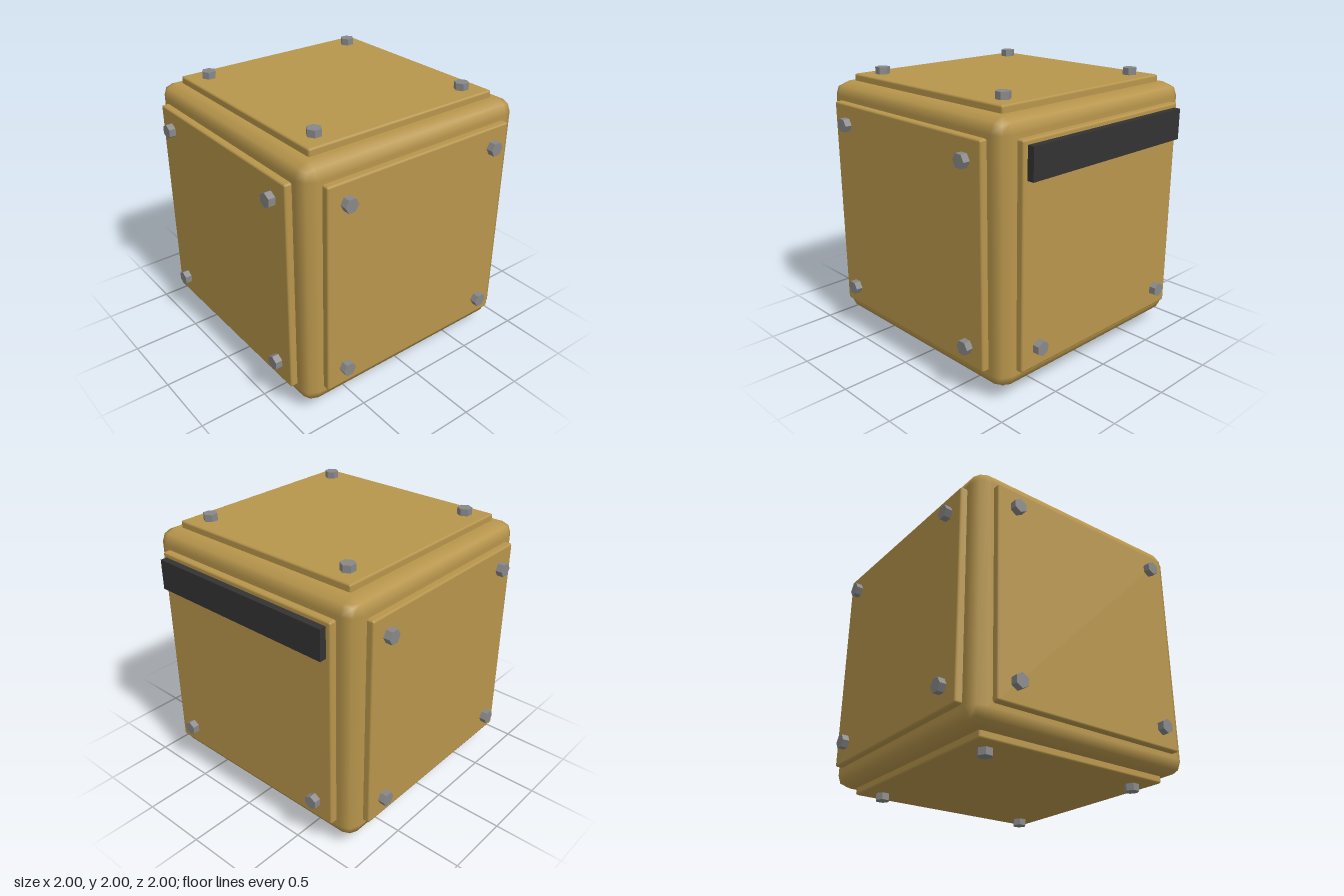
import * as THREE from 'three';
import { RoundedBoxGeometry } from 'three/addons/geometries/RoundedBoxGeometry.js';

const brass = new THREE.MeshStandardMaterial({ color: 0xb8964c });
const steel = new THREE.MeshStandardMaterial({ color: 0x888888, flatShading: true });
const dark = new THREE.MeshStandardMaterial({ color: 0x333333 });

const PLATE = 1.545, PLATE_TOP = 0.95, BOLT_POS = 0.627;

function addMesh(parent, name, geometry, material, x = 0, y = 0, z = 0) {
  const mesh = new THREE.Mesh(geometry, material);
  mesh.name = name;
  mesh.position.set(x, y, z);
  parent.add(mesh);
  return mesh;
}

export function createModel() {
  const model = new THREE.Group();
  model.name = 'platedCube';

  // Everything is built around the cube's centre, then lifted onto the ground
  const cube = new THREE.Group();
  cube.name = 'cube';
  cube.position.y = 1;
  model.add(cube);

  // Core block with bevelled edges
  addMesh(cube, 'core', new RoundedBoxGeometry(1.8, 1.8, 1.8, 1, 0.1), brass);

  // Each side carries a raised plate with hex bolts; local +y points outward
  const plateGeo = new RoundedBoxGeometry(PLATE, 0.1, PLATE, 1, 0.015);
  const boltGeo = new THREE.CylinderGeometry(0.052, 0.052, 0.06, 6);
  const q = Math.PI / 2;
  const sides = [
    { name: 'top', rotation: [0, 0, 0] },
    { name: 'bottom', rotation: [2 * q, 0, 0], spin: q },
    { name: 'front', rotation: [q, 0, 0] },
    { name: 'back', rotation: [-q, 0, 0], covered: true },
    { name: 'left', rotation: [0, 0, -q] },
    { name: 'right', rotation: [0, 0, q] },
  ];
  for (const { name, rotation, spin = 0, covered = false } of sides) {
    const side = new THREE.Group();
    side.name = name + 'Side';
    side.rotation.set(...rotation);
    cube.add(side);
    addMesh(side, name + 'Plate', plateGeo, brass, 0, PLATE_TOP - 0.05, 0);
    for (const x of [-BOLT_POS, BOLT_POS]) {
      for (const z of [-BOLT_POS, BOLT_POS]) {
        if (covered && z > 0) continue; // the bar sits here instead
        addMesh(side, name + 'Bolt', boltGeo, steel, x, 0.97, z).rotation.y = spin;
      }
    }
  }

  // Dark bar across the upper back
  addMesh(cube, 'backBar', new THREE.BoxGeometry(1.475, 0.22, 0.06), dark, 0, 0.63, -0.97);

  return model;
}
